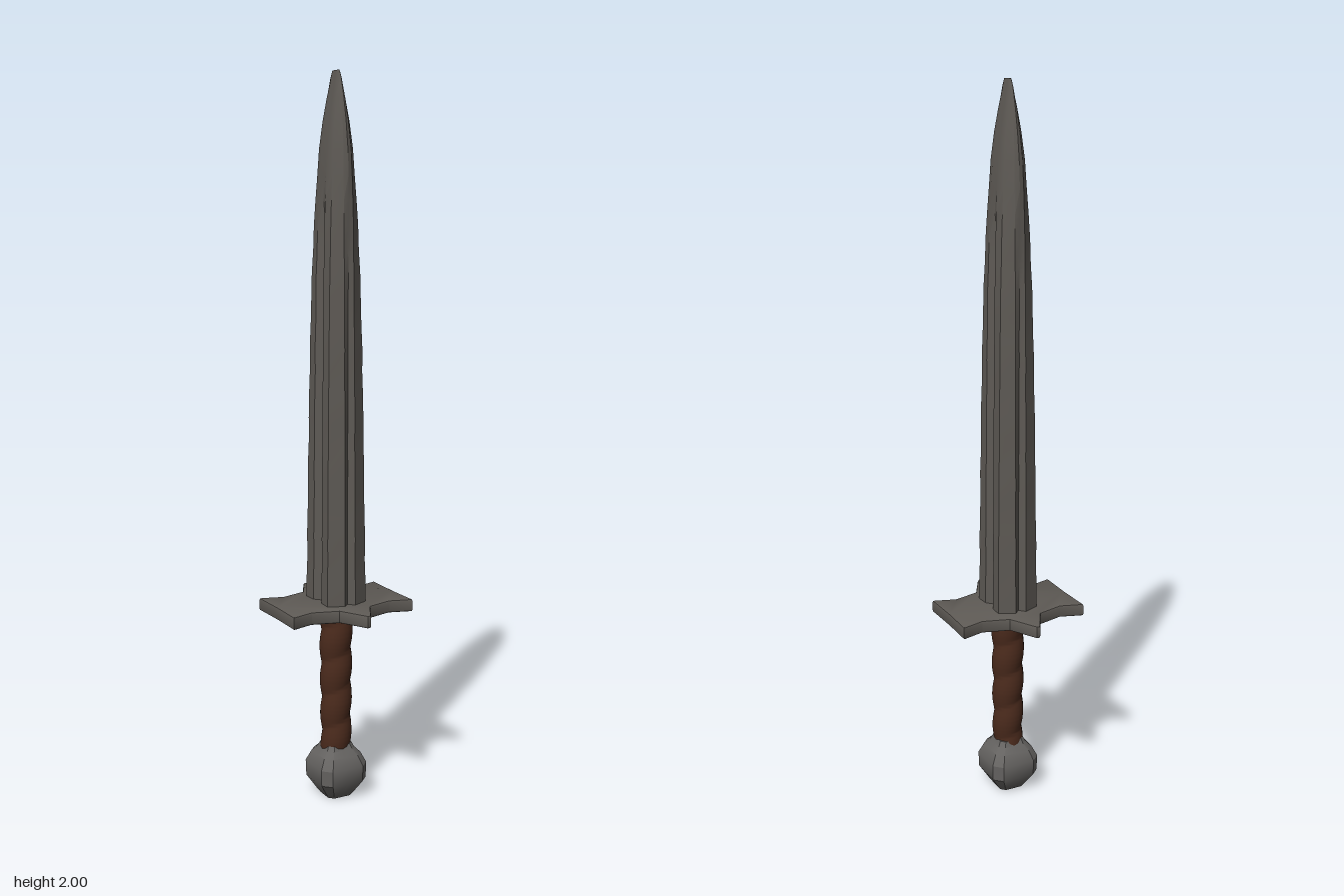
import * as THREE from 'three';
import { toCreasedNormals } from 'three/addons/utils/BufferGeometryUtils.js';

const steel = new THREE.MeshStandardMaterial({ name: 'dark steel', color: 0x5e5a55 });
const iron = new THREE.MeshStandardMaterial({ name: 'pommel iron', color: 0x646260 });
const leather = new THREE.MeshStandardMaterial({ name: 'brown leather', color: 0x4a2a1c });

// Mirror a quarter outline (from the +x axis round to the +z axis) into a full loop.
function mirrorQuarter(q) {
  const head = q.slice(0, -1);
  const tail = q.slice(1).reverse();
  return [
    ...head,
    ...tail.map(([x, z]) => [-x, z]),
    ...head.map(([x, z]) => [-x, -z]),
    ...tail.map(([x, z]) => [x, -z]),
  ];
}

// Skin a stack of { y, loop } sections and cap both ends.
function loft(sections, crease) {
  const n = sections[0].loop.length;
  const pos = [];
  const idx = [];
  for (const { y, loop } of sections) for (const [x, z] of loop) pos.push(x, y, z);
  const last = sections.length - 1;
  const bottom = pos.length / 3;
  pos.push(0, sections[0].y, 0, 0, sections[last].y, 0);
  for (let i = 0; i < last; i++) {
    for (let j = 0; j < n; j++) {
      const k = (j + 1) % n;
      const a = i * n + j, b = i * n + k;
      idx.push(a, a + n, b, b, a + n, b + n);
    }
  }
  for (let j = 0; j < n; j++) {
    const k = (j + 1) % n;
    idx.push(bottom, j, k, bottom + 1, last * n + k, last * n + j);
  }
  const g = new THREE.BufferGeometry();
  g.setAttribute('position', new THREE.Float32BufferAttribute(pos, 3));
  g.setIndex(idx);
  return toCreasedNormals(g, crease);
}

function part(name, geometry, material) {
  const mesh = new THREE.Mesh(geometry, material);
  mesh.name = name;
  return mesh;
}

// Thick blade with a groove down each face and edge, closing to a blunt tip.
function makeBlade() {
  const base = [[0.036, 0], [0.058, 0.024], [0.06, 0.062], [0.016, 0.082], [0, 0.066]];
  const shoulder = [[0.037, 0], [0.04, 0.018], [0.034, 0.042], [0.013, 0.066], [0, 0.07]];
  const sections = [];
  const steps = 18;
  for (let i = 0; i <= steps; i++) {
    const t = i / steps;
    const wear = 1 + 0.012 * Math.sin(i * 2.4);
    const mix = 0.55 * t + 0.45 * t ** 5;
    const q = base.map(([x, z], k) => [
      THREE.MathUtils.lerp(x, shoulder[k][0], mix) * wear,
      THREE.MathUtils.lerp(z, shoulder[k][1], mix) * wear,
    ]);
    // keep the grooves sunk until they run out near the tip
    q[0][0] = THREE.MathUtils.lerp(0.036, t < 0.9 ? 0.029 : 0.037, t);
    sections.push({ y: 0.56 + 1.17 * t, loop: mirrorQuarter(q) });
  }
  const tip = [[1.8, 0.87, 0.93], [1.87, 0.65, 0.79], [1.93, 0.4, 0.61], [1.98, 0.16, 0.41], [2, 0.06, 0.28]];
  for (const [y, sx, sz] of tip) {
    sections.push({ y, loop: mirrorQuarter(shoulder.map(([x, z]) => [x * sx, z * sz])) });
  }
  return part('blade', loft(sections, 0.5), steel);
}

// Flat guard with two flared ends and a spike on each face.
function makeGuard() {
  const q = [[0.183, 0], [0.185, 0.107], [0.121, 0.088], [0.048, 0.109], [0.005, 0.188], [0, 0.188]];
  const outline = mirrorQuarter(q).map(([x, z]) => new THREE.Vector2(x, z));
  const g = new THREE.ExtrudeGeometry(new THREE.Shape(outline), {
    depth: 0.024, bevelThickness: 0.006, bevelSize: 0.005, bevelOffset: -0.005, bevelSegments: 2,
  });
  g.rotateX(Math.PI / 2).translate(0, 0.567, 0);
  return part('guard', toCreasedNormals(g, 0.6), steel);
}

// Leather grip wrapped in a spiral.
function makeGrip() {
  const g = new THREE.CylinderGeometry(1, 1, 0.42, 20, 72, true);
  const p = g.attributes.position;
  for (let i = 0; i < p.count; i++) {
    const y = p.getY(i);
    const angle = Math.atan2(p.getZ(i), p.getX(i));
    const wrap = Math.abs(Math.sin(y * 32 + angle / 2));
    const r = 0.038 + 0.006 * wrap + 0.008 * (y + 0.21);
    p.setXYZ(i, Math.cos(angle) * r, y + 0.345, Math.sin(angle) * r);
  }
  return part('grip', toCreasedNormals(g, 0.9), leather);
}

// Chunky chamfered pommel with a neck under the grip.
function makePommel() {
  const q = [[0.073, 0], [0.072, 0.048], [0.048, 0.072], [0, 0.073]];
  const rings = [[0, 0.52], [0.012, 0.64], [0.05, 0.98], [0.095, 1], [0.125, 0.8], [0.14, 0.6], [0.155, 0.5]];
  const sections = rings.map(([y, s]) => ({ y, loop: mirrorQuarter(q.map(([x, z]) => [x * s, z * s])) }));
  return part('pommel', loft(sections, 0.55), iron);
}

export function createModel() {
  const sword = new THREE.Group();
  sword.name = 'sword';
  sword.add(makeBlade(), makeGuard(), makeGrip(), makePommel());
  // The whole sword is turned about its length.
  sword.rotation.y = 0.67;
  const model = new THREE.Group();
  model.name = 'model';
  model.add(sword);
  return model;
}
